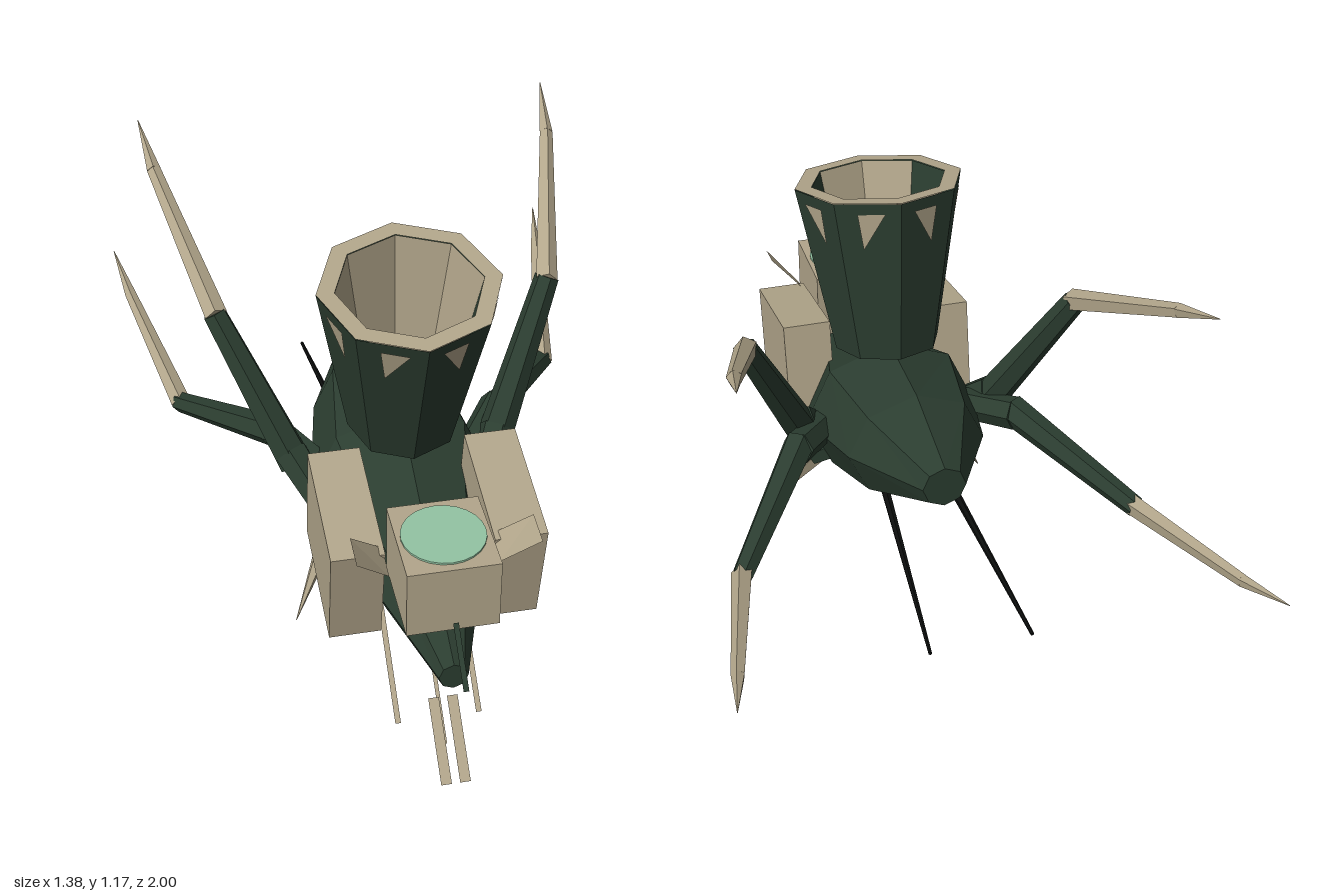
import * as THREE from 'three';

const mat = (name, color) => {
  const m = new THREE.MeshStandardMaterial({ color, flatShading: true, side: THREE.DoubleSide });
  m.name = name;
  return m;
};
const V = (x, y, z) => new THREE.Vector3(x, y, z);

export function createModel() {
  const green = mat('dark green', 0x2b3d30);
  const bone = mat('bone', 0xb2a68b);
  const mint = mat('mint', 0x93c4a3);
  const black = mat('black', 0x0b0d0c);
  const model = new THREE.Group();

  const add = (name, geo, material, parent = model) => {
    const mesh = new THREE.Mesh(geo, material);
    mesh.name = name;
    parent.add(mesh);
    return mesh;
  };

  // Tapered bar between two points
  const bar = (name, a, b, ra, rb, material, sides = 6) => {
    const dir = b.clone().sub(a);
    const mesh = add(name, new THREE.CylinderGeometry(rb, ra, dir.length(), sides), material);
    mesh.position.copy(a).addScaledVector(dir, 0.5);
    mesh.quaternion.setFromUnitVectors(V(0, 1, 0), dir.normalize());
    return mesh;
  };

  // Flat polygon through corner points
  const plate = (name, pts, material, parent = model) => {
    const geo = new THREE.BufferGeometry().setFromPoints(pts);
    geo.setIndex(pts.length === 3 ? [0, 1, 2] : [0, 1, 2, 0, 2, 3]);
    geo.computeVertexNormals();
    return add(name, geo, material, parent);
  };

  // Hull lofted through octagonal rings: z, bottom y, top y, half width
  const rings = [
    [-0.35, 0.48, 0.60, 0.06],
    [-0.08, 0.32, 0.66, 0.195],
    [0.20, 0.212, 0.66, 0.25],
    [0.54, 0.23, 0.51, 0.15],
    [0.87, 0.29, 0.37, 0.038],
  ];
  const pos = [], index = [], n = 8;
  for (const [z, y0, y1, w] of rings)
    for (let i = 0; i < n; i++) {
      const a = (i / n) * Math.PI * 2;
      pos.push(w * Math.cos(a), (y0 + y1) / 2 + ((y1 - y0) / 2) * Math.sin(a), z);
    }
  for (let r = 0; r < rings.length - 1; r++)
    for (let i = 0; i < n; i++) {
      const a = r * n + i, b = r * n + ((i + 1) % n);
      index.push(a, b, b + n, a, b + n, a + n);
    }
  const last = (rings.length - 1) * n;
  for (let i = 1; i < n - 1; i++) index.push(0, i + 1, i, last, last + i, last + i + 1);
  const hull = new THREE.BufferGeometry();
  hull.setAttribute('position', new THREE.Float32BufferAttribute(pos, 3));
  hull.setIndex(index);
  hull.computeVertexNormals();
  add('hull', hull, green);

  // Tilted octagonal funnel
  const funnel = new THREE.Group();
  funnel.name = 'funnel';
  funnel.position.set(0, 1.13, 0.303);
  funnel.rotation.x = 0.165;
  model.add(funnel);
  const H = 0.48, R = 0.237, RB = 0.15;
  add('funnelWall', new THREE.CylinderGeometry(R, RB, H, 8, 1, true), green, funnel).position.y = -H / 2;
  add('funnelFloor', new THREE.CircleGeometry(0.14, 8).rotateX(-Math.PI / 2), green, funnel).position.y = -H + 0.02;
  add('funnelRim', new THREE.RingGeometry(0.19, R, 8).rotateX(-Math.PI / 2), bone, funnel).position.y = 0.002;
  for (let i = 0; i < 8; i++) {
    const lining = i === 1 || i === 6 ? green : bone;
    const geo = new THREE.CylinderGeometry(0.19, 0.11, H - 0.02, 1, 1, true, (i * Math.PI) / 4, Math.PI / 4);
    add('funnelLining', geo, lining, funnel).position.y = -H / 2 + 0.01;
  }
  const gem = add('gem', new THREE.SphereGeometry(0.082, 8, 4), mint, funnel);
  gem.position.set(0, -0.42, 0.01);

  // Teeth on the outside of the funnel, mirrored into each quadrant
  const wallPoint = (deg, centre, d, sx, sz) => {
    const a = THREE.MathUtils.degToRad(deg), c = THREE.MathUtils.degToRad(centre);
    const r = ((R - ((R - RB) * d) / H) * Math.cos(Math.PI / 8) + 0.004) / Math.cos(a - c);
    return V(sx * r * Math.sin(a), -d, sz * r * Math.cos(a));
  };
  for (const sx of [-1, 1])
    for (const sz of [-1, 1])
      for (const [c, inner, outer, tip] of [[22.5, 10.5, 30, 28], [67.5, 79.5, 60, 62]])
        plate('funnelTooth', [wallPoint(inner, c, 0.03, sx, sz), wallPoint(outer, c, 0.03, sx, sz),
          wallPoint(tip, c, 0.135, sx, sz)], bone, funnel);

  // Front box with a round lens on top
  add('frontBox', new THREE.BoxGeometry(0.235, 0.197, 0.255), bone).position.set(0, 0.572, 0.722);
  const lens = add('lens', new THREE.CylinderGeometry(0.107, 0.107, 0.006, 24), mint);
  lens.position.set(0, 0.673, 0.722);

  for (const s of [-1, 1]) {
    const P = (x, y, z) => V(s * x, y, z);

    // Tilted side box and the small fin in front of it
    const box = add('sideBox', new THREE.BoxGeometry(0.137, 0.32, 0.355), bone);
    box.position.set(s * 0.208, 0.482, 0.492);
    box.rotation.x = 0.18;
    plate('fin', [P(0.14, 0.58, 0.745), P(0.23, 0.68, 0.80), P(0.23, 0.69, 0.71), P(0.14, 0.60, 0.66)], bone);

    // Upper arm and claw
    bar('upperShoulder', P(0.2, 0.37, 0.27), P(0.29, 0.50, 0.12), 0.04, 0.05, green);
    bar('upperArm', P(0.28, 0.47, 0.13), P(0.46, 0.87, -0.05), 0.05, 0.034, green);
    bar('upperClaw', P(0.455, 0.865, -0.04), P(0.565, 1.07, -0.49), 0.032, 0.02, bone, 5);
    bar('upperClawTip', P(0.565, 1.07, -0.49), P(0.59, 1.14, -0.66), 0.02, 0.001, bone, 5);

    // Lower arm and claw
    bar('lowerShoulder', P(0.2, 0.45, 0.16), P(0.32, 0.49, 0.0), 0.045, 0.048, green);
    bar('lowerArm', P(0.31, 0.495, 0.02), P(0.555, 0.36, -0.35), 0.045, 0.03, green);
    bar('lowerClaw', P(0.552, 0.362, -0.34), P(0.655, 0.445, -0.82), 0.03, 0.018, bone, 5);
    bar('lowerClawTip', P(0.655, 0.445, -0.82), P(0.69, 0.50, -1.0), 0.018, 0.001, bone, 5);

    // Spiked leg
    bar('hip', P(0.13, 0.36, 0.2), P(0.225, 0.285, 0.245), 0.05, 0.032, green);
    bar('legSpike', P(0.21, 0.295, 0.235), P(0.322, 0.08, 0.34), 0.028, 0.001, bone, 5);

    // Tail rod
    bar('tailRod', P(0.09, 0.365, -0.06), P(0.138, 0.28, -0.69), 0.013, 0.005, black);
  }

  // Flat sloping barrels: x, width, upper y and z, lower y and z
  const barrel = (name, x, w, ya, za, yb, zb, material) =>
    plate(name, [V(x - w / 2, ya, za), V(x - w / 2, yb, zb), V(x + w / 2, yb, zb), V(x + w / 2, ya, za)], material);
  for (const s of [-1, 1]) {
    barrel('wideBarrel', s * 0.025, 0.028, 0.145, 0.76, 0, 0.93, bone);
    barrel('outerBarrel', s * 0.11, 0.015, 0.237, 0.47, 0.023, 0.72, bone);
  }
  barrel('centreBarrel', 0, 0.011, 0.225, 0.55, 0.008, 0.80, bone);
  barrel('noseBarrel', 0, 0.014, 0.52, 0.875, 0.41, 1.0, green);

  return model;
}
